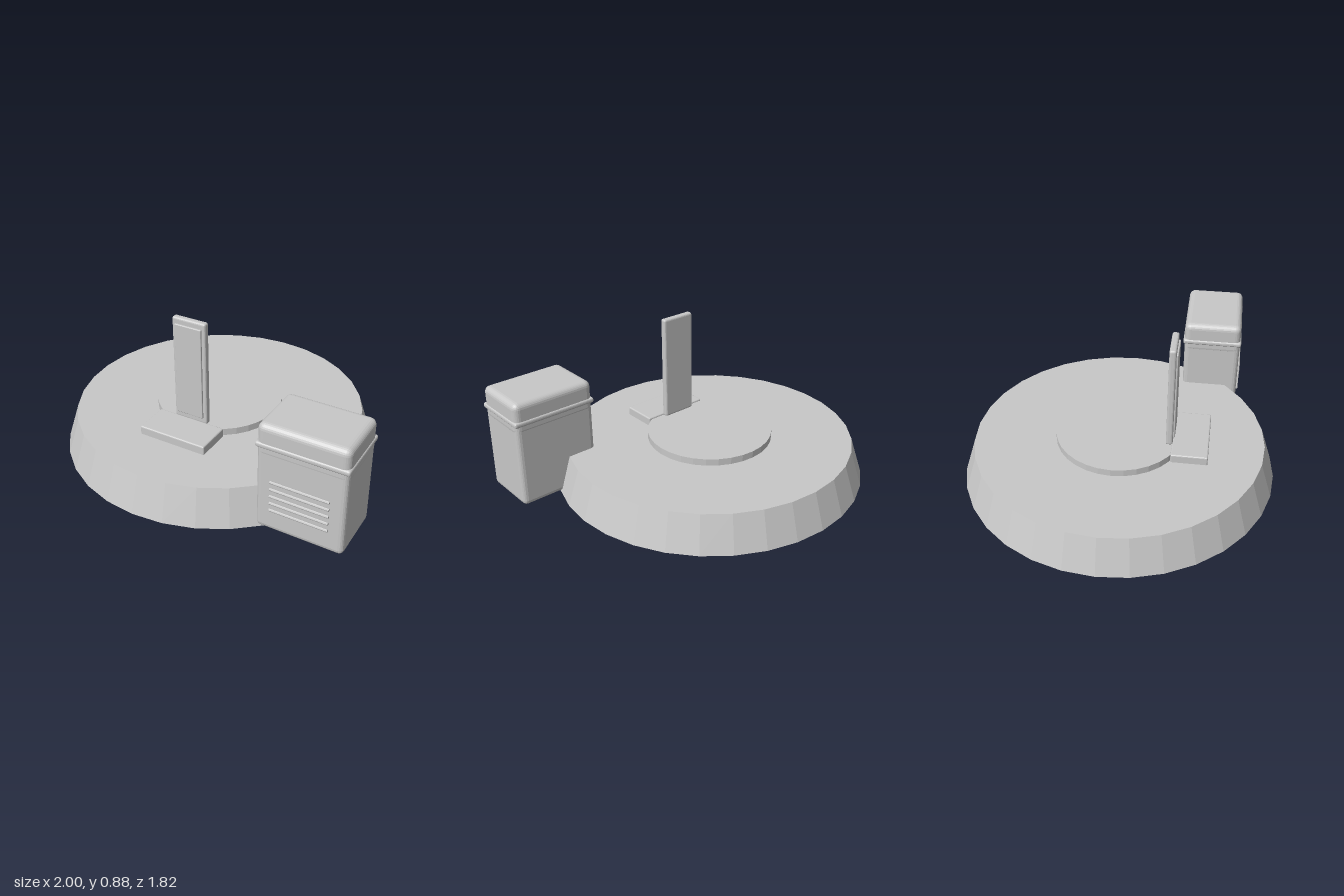
import * as THREE from 'three';
import { RoundedBoxGeometry } from 'three/addons/geometries/RoundedBoxGeometry.js';

export function createModel() {
  const model = new THREE.Group();
  const grey = new THREE.MeshStandardMaterial({ color: 0xc8c8c8, flatShading: true });
  grey.name = 'plainGrey';

  function add(name, geometry, x, y, z, parent = model) {
    const mesh = new THREE.Mesh(geometry, grey);
    mesh.name = name;
    mesh.position.set(x, y, z);
    parent.add(mesh);
    return mesh;
  }

  // Box with softened edges, given by its lower and upper corners
  function softBox(name, min, max, radius, parent, segments = 2) {
    const size = max.map((v, i) => v - min[i]);
    const mid = max.map((v, i) => (v + min[i]) / 2);
    return add(name, new RoundedBoxGeometry(...size, segments, radius), ...mid, parent);
  }

  // Faceted tapered platform with a raised central disc
  add('platform', new THREE.CylinderGeometry(0.84, 0.908, 0.21, 32), -0.092, 0.105, 0);
  add('centreDisc', new THREE.CylinderGeometry(0.367, 0.367, 0.045, 32), -0.092, 0.2275, 0);

  // Upright panel and the plate in front of it
  const stand = new THREE.Group();
  stand.name = 'uprightStand';
  model.add(stand);
  softBox('footPlate', [-0.298, 0.2, 0.313], [0.115, 0.26, 0.522], 0.008, stand);
  softBox('uprightPanel', [-0.198, 0.25, 0.278], [0.01, 0.875, 0.317], 0.012, stand);
  softBox('panelFace', [-0.178, 0.288, 0.3], [-0.012, 0.84, 0.327], 0.005, stand);

  // Lidded bin at the platform's edge
  const bin = new THREE.Group();
  bin.name = 'bin';
  model.add(bin);
  softBox('binBody', [0.508, 0.005, 0.322], [0.992, 0.53, 0.663], 0.028, bin);
  softBox('binLid', [0.506, 0.44, 0.321], [0.994, 0.632, 0.664], 0.035, bin, 3);
  softBox('lidRim', [0.5, 0.497, 0.314], [1.0, 0.528, 0.67], 0.012, bin);

  // Five horizontal ribs on the bin's front
  for (let i = 0; i < 5; i++) {
    const rib = add('frontRib', new THREE.CylinderGeometry(0.008, 0.008, 0.32, 8), 0.75, 0.141 + i * 0.0432, 0.669, bin);
    rib.rotation.z = Math.PI / 2;
  }

  return model;
}
